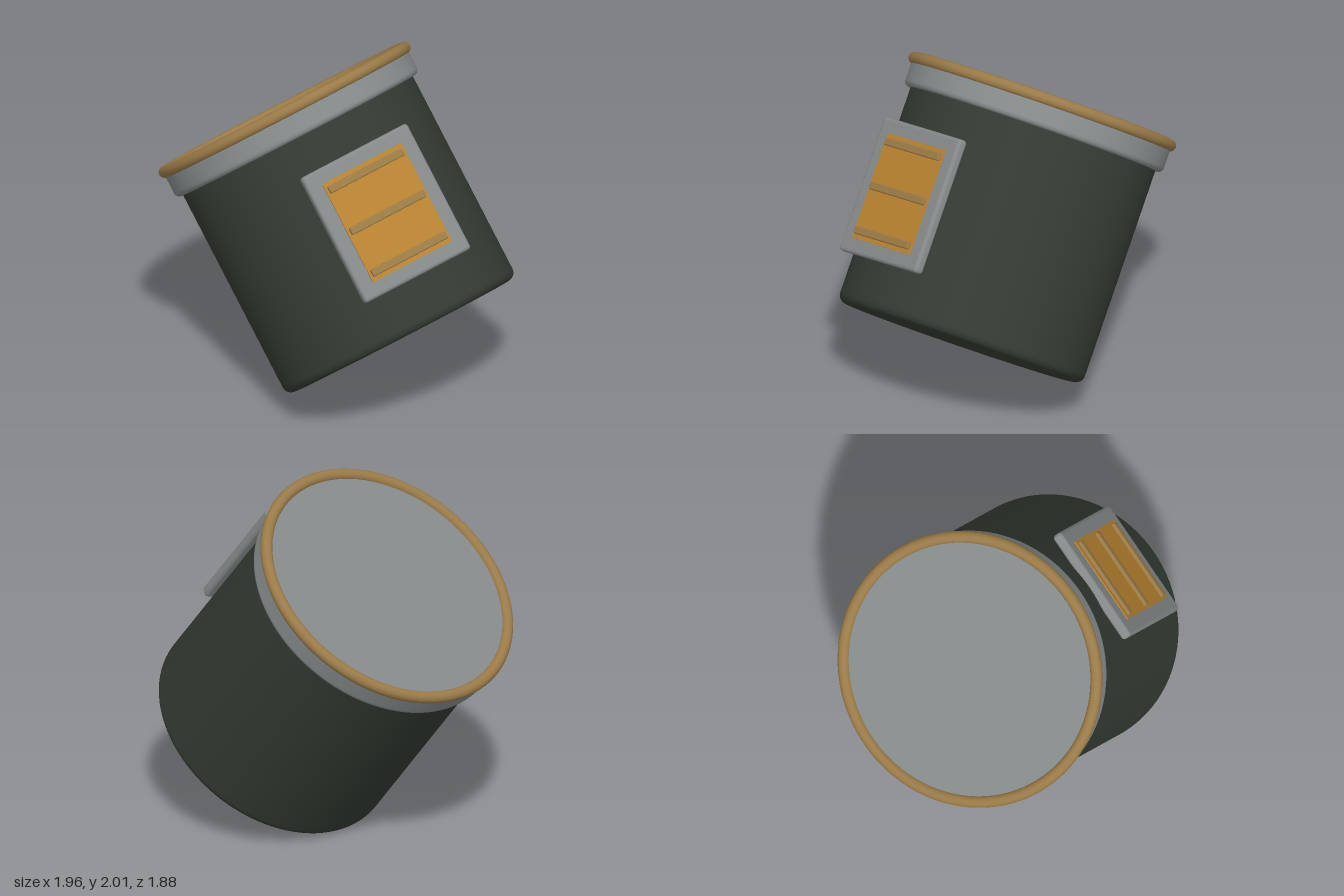
import * as THREE from 'three';
import { RoundedBoxGeometry } from 'three/addons/geometries/RoundedBoxGeometry.js';

const material = (name, color) => {
  const m = new THREE.MeshStandardMaterial({ color });
  m.name = name;
  return m;
};

// Solid of revolution with rounded lower and upper edges
function roundedDrum(radius, bottom, top, lowRound, highRound) {
  const points = [new THREE.Vector2(0, bottom), new THREE.Vector2(radius - lowRound - 0.01, bottom)];
  const steps = 8;
  for (let i = 0; i <= steps; i++) {
    const t = (i / steps) * Math.PI / 2;
    points.push(new THREE.Vector2(radius - lowRound + lowRound * Math.sin(t), bottom + lowRound * (1 - Math.cos(t))));
  }
  points.push(new THREE.Vector2(radius, bottom + lowRound + 0.01), new THREE.Vector2(radius, top - highRound - 0.01));
  for (let i = 0; i <= steps; i++) {
    const t = (i / steps) * Math.PI / 2;
    points.push(new THREE.Vector2(radius - highRound + highRound * Math.cos(t), top - highRound + highRound * Math.sin(t)));
  }
  points.push(new THREE.Vector2(radius - highRound - 0.01, top), new THREE.Vector2(0, top));
  return new THREE.LatheGeometry(points, 96);
}

export function createModel() {
  const green = material('dark green', 0x323a32);
  const grey = material('grey', 0x848989);
  const brass = material('brass', 0x9a7a47);
  const amber = material('amber', 0xb98230);

  const model = new THREE.Group();
  model.name = 'tiltedDrum';
  const drum = new THREE.Group();
  drum.name = 'drum';
  model.add(drum);

  const add = (name, geometry, mat, x = 0, y = 0, z = 0) => {
    const mesh = new THREE.Mesh(geometry, mat);
    mesh.name = name;
    mesh.position.set(x, y, z);
    drum.add(mesh);
    return mesh;
  };

  // Body, collar with its flat lid, and the rolled rim
  add('body', roundedDrum(0.71, -0.05, 1.3, 0.05, 0.01), green);
  add('collar', roundedDrum(0.75, 1.19, 1.355, 0.03, 0.01), grey);
  add('rim', new THREE.TorusGeometry(0.742, 0.033, 16, 96).rotateX(Math.PI / 2), brass, 0, 1.349);

  // Framed panel on the side, with three slats
  const panelY = 0.6;
  add('panelFrame', new RoundedBoxGeometry(0.69, 0.775, 0.06, 4, 0.02), grey, 0, panelY, 0.72);
  add('panel', new THREE.BoxGeometry(0.515, 0.607, 0.02), amber, 0, panelY, 0.747);
  for (const offset of [-0.257, 0, 0.257]) {
    add('slat', new RoundedBoxGeometry(0.485, 0.043, 0.03, 3, 0.008), brass, 0, panelY + offset, 0.76);
  }

  // Lean the whole drum: local y along its axis, local z out through the panel
  const axis = new THREE.Vector3(-0.487, 0.793, -0.366).normalize();
  const side = new THREE.Vector3(0.797, 0.25, -0.549);
  const out = side.cross(axis).normalize();
  const across = new THREE.Vector3().crossVectors(axis, out);
  drum.quaternion.setFromRotationMatrix(new THREE.Matrix4().makeBasis(across, axis, out));
  drum.position.set(0.353, 0.449, 0.274);
  return model;
}
